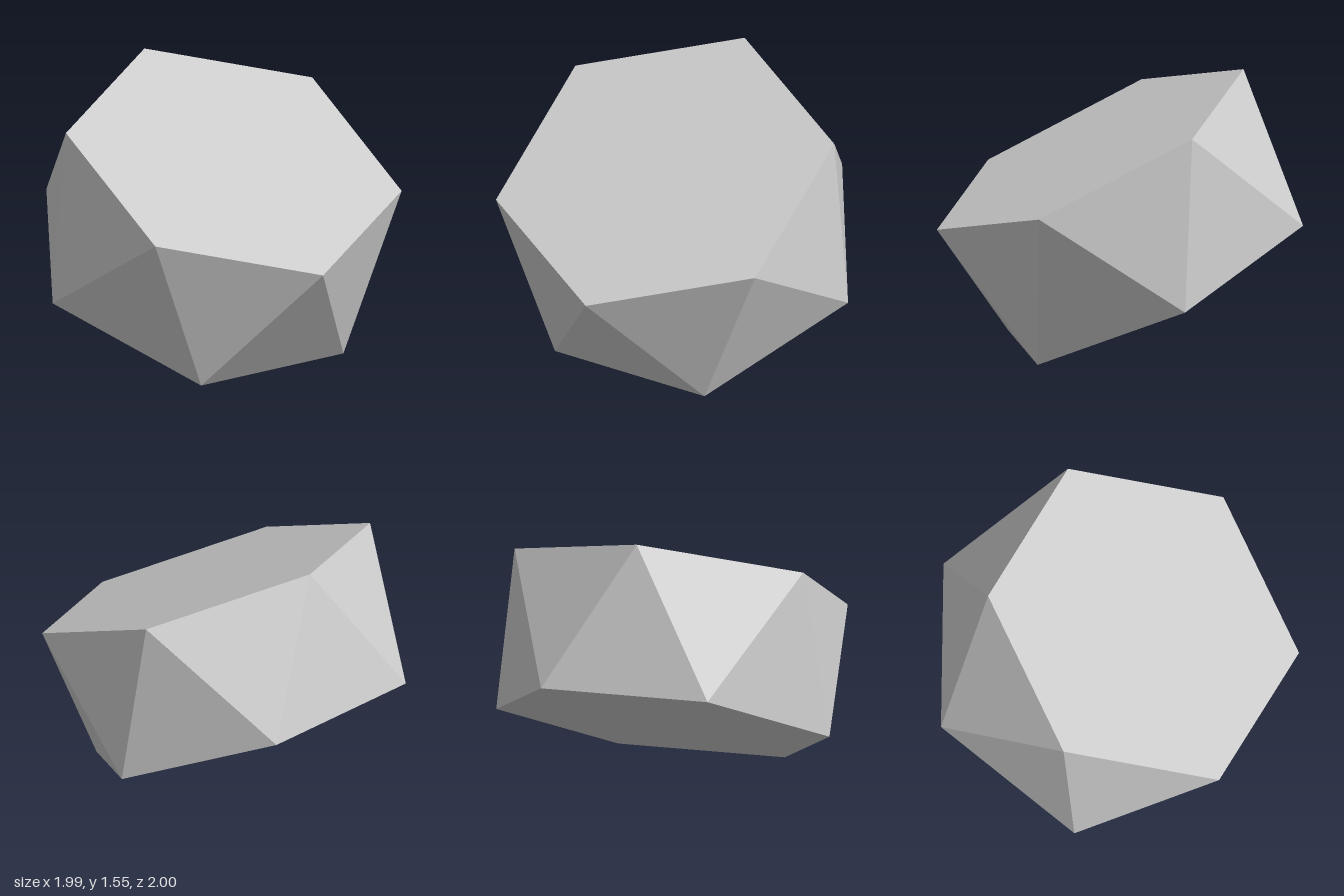
import * as THREE from 'three';

// Hexagonal antiprism tipped over so that it rests on one edge of its lower face
const SIDES = 6;
const U = new THREE.Vector3(0.95, -0.215, 0);        // radius vectors of both hexagons
const V = new THREE.Vector3(0.087, 0.372, -0.895);
const UPPER = new THREE.Vector3(0.04, 1.122, 0.224); // face centres
const LOWER = new THREE.Vector3(-0.135, 0.372, -0.106);

// Corners of one hexagon, turned by a fraction of a side
function ring(centre, turn) {
  return Array.from({ length: SIDES }, (_, i) => {
    const a = ((i + turn) / SIDES) * Math.PI * 2;
    return centre.clone().addScaledVector(U, Math.cos(a)).addScaledVector(V, Math.sin(a));
  });
}

function antiprismGeometry() {
  const top = ring(UPPER, 0);
  const bottom = ring(LOWER, 0.5);
  const points = [];
  for (let i = 0; i < SIDES; i++) {
    const j = (i + 1) % SIDES;
    // band of alternating triangles
    points.push(top[i], bottom[i], top[j]);
    points.push(bottom[i], bottom[j], top[j]);
    // hexagonal end faces
    points.push(UPPER, top[i], top[j]);
    points.push(LOWER, bottom[j], bottom[i]);
  }
  const geometry = new THREE.BufferGeometry().setFromPoints(points);
  geometry.computeVertexNormals();
  return geometry;
}

export function createModel() {
  const group = new THREE.Group();
  group.name = 'hexagonalAntiprism';
  const material = new THREE.MeshStandardMaterial({ color: 0xcccccc, flatShading: true });
  const body = new THREE.Mesh(antiprismGeometry(), material);
  body.name = 'antiprismBody';
  group.add(body);
  return group;
}
